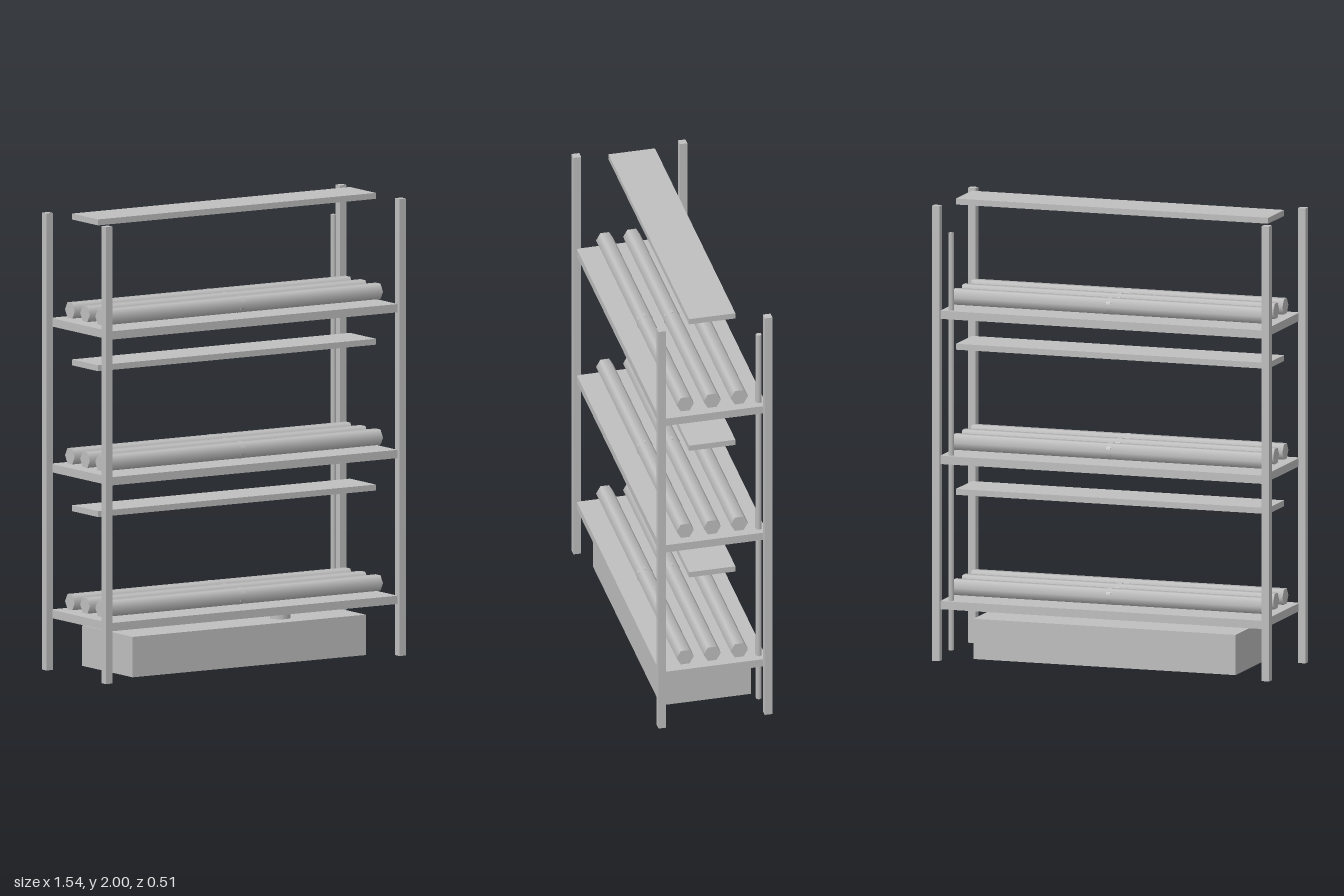
import * as THREE from 'three';

export function createModel() {
  const root = new THREE.Group();
  root.name = 'hydroponicRack';

  const grey = new THREE.MeshStandardMaterial({ color: 0xbfbfbf });
  grey.name = 'grey';
  grey.side = THREE.DoubleSide;

  const add = (name, geometry, x, y, z, parent = root) => {
    const mesh = new THREE.Mesh(geometry, grey);
    mesh.name = name;
    mesh.position.set(x, y, z);
    parent.add(mesh);
    return mesh;
  };

  // Corner posts
  const postGeo = new THREE.BoxGeometry(0.034, 1.99, 0.034);
  for (const x of [-0.753, 0.753])
    for (const z of [-0.236, 0.236]) add('cornerPost', postGeo, x, 0.995, z);

  // Shared parts of each growing tier
  const shelfGeo = new THREE.BoxGeometry(1.476, 0.036, 0.476);
  const lightGeo = new THREE.BoxGeometry(1.426, 0.026, 0.206);
  const channelGeo = new THREE.CylinderGeometry(0.0385, 0.0385, 1.426, 6).rotateZ(Math.PI / 2);
  // Hexagonal collar turned half a side, so its corners stand proud of the channel
  const collarGeo = new THREE.CylinderGeometry(0.0375, 0.0375, 0.022, 6)
    .rotateY(Math.PI / 6).rotateZ(Math.PI / 2);
  const sproutGeo = new THREE.ConeGeometry(0.009, 0.014, 6);

  const sprouts = [
    [[-0.53, -0.12], [-0.18, 0], [0.19, 0.12], [0.53, -0.12]],
    [[-0.45, -0.12], [-0.08, 0], [0.18, 0.12], [0.49, -0.12]],
    [[-0.52, -0.115], [-0.16, 0], [0.185, 0.12], [0.5, -0.115]],
  ];

  [0.243, 0.878, 1.513].forEach((y, i) => {
    const tier = new THREE.Group();
    tier.name = 'tier';
    tier.position.y = y;
    root.add(tier);
    add('shelf', shelfGeo, 0, 0, 0, tier);
    for (const z of [-0.12, 0, 0.12]) {
      add('growChannel', channelGeo, 0, 0.063, z, tier);
      add('channelCollar', collarGeo, 0, 0.063, z, tier);
    }
    for (const [x, z] of sprouts[i]) add('sprout', sproutGeo, x, 0.094, z, tier);
    add('lightPanel', lightGeo, 0, 0.474, 0, tier);
  });

  // Reservoir: four walls and a lid, open underneath
  const tankGeo = new THREE.BoxGeometry(1.196, 0.176, 0.4);
  const faces = Array.from(tankGeo.index.array);
  faces.splice(18, 6); // drop the bottom face
  tankGeo.setIndex(faces);
  tankGeo.clearGroups();
  add('reservoir', tankGeo, 0, 0.097, 0);
  add('fillCap', new THREE.CylinderGeometry(0.044, 0.044, 0.026, 12), 0.237, 0.193, 0.08);

  // Water supply pipe at the back
  add('supplyPipe', new THREE.CylinderGeometry(0.013, 0.013, 1.825, 6).rotateY(Math.PI / 6),
    0.697, 0.957, -0.21);

  return root;
}
